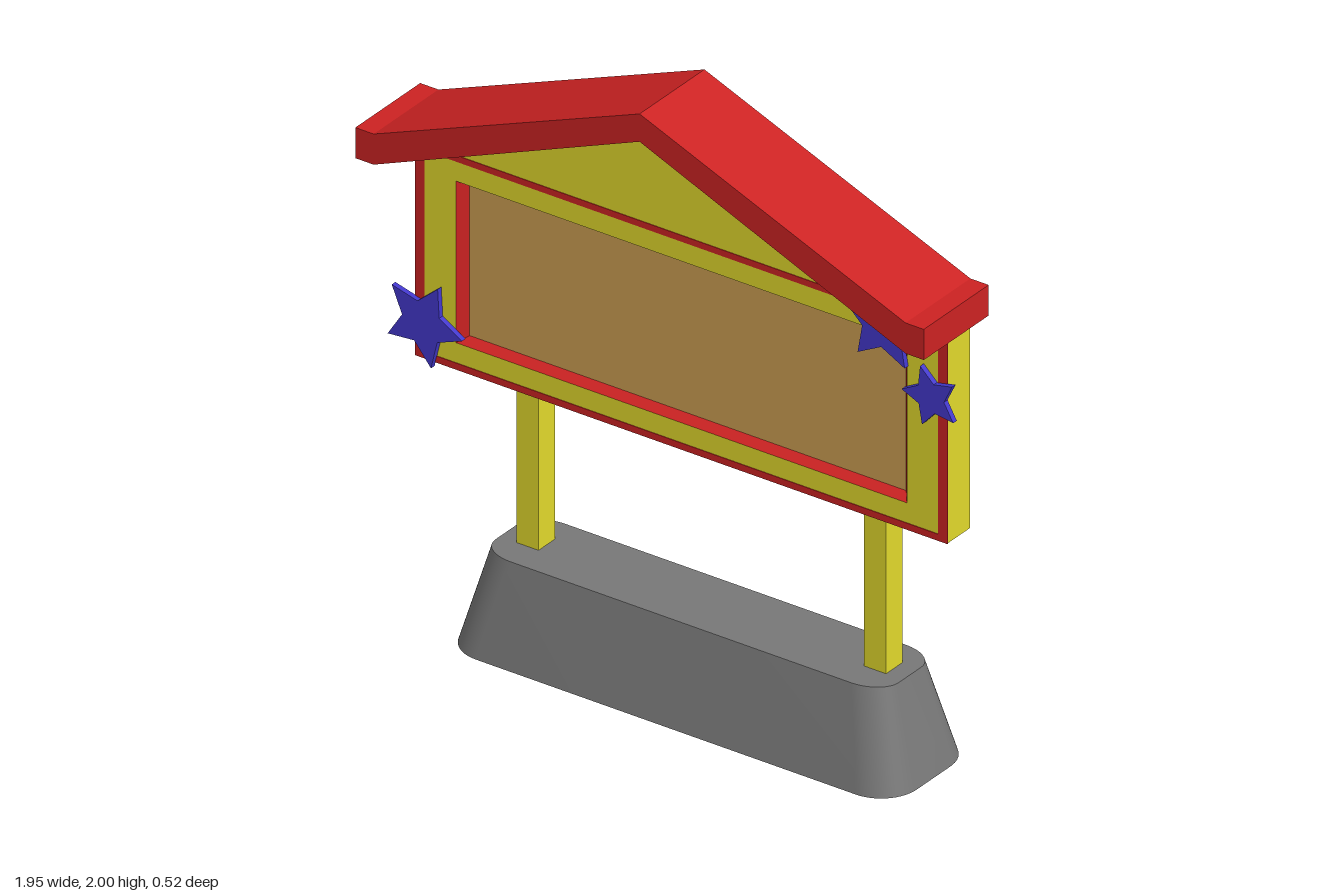
import * as THREE from 'three';
import { toCreasedNormals } from 'three/addons/utils/BufferGeometryUtils.js';

const CX = 0.005; // middle of the sign
const mat = (color) => new THREE.MeshStandardMaterial({ color });
const yellow = mat(0xe0d82c), red = mat(0xcc2222), blue = mat(0x4338cc);
const tan = mat(0xcc9d52), grey = mat(0x777777);

const polygon = (pts) => new THREE.Shape(pts.map(([x, y]) => new THREE.Vector2(x, y)));
const corners = (hw, y0, y1) => [[-hw, y0], [hw, y0], [hw, y1], [-hw, y1]];

// Straight extrusion from z0 to z1
function slab(shape, z0, z1) {
  const geo = new THREE.ExtrudeGeometry(shape, { depth: z1 - z0, bevelEnabled: false, curveSegments: 8 });
  return geo.translate(0, 0, z0);
}

// Rounded block that narrows towards the top
function baseGeometry() {
  const w = 0.765, d = 0.2, r = 0.12, h = 0.3;
  const s = new THREE.Shape();
  s.absarc(w - r, d - r, r, 0, Math.PI / 2);
  s.absarc(-w + r, d - r, r, Math.PI / 2, Math.PI);
  s.absarc(-w + r, -d + r, r, Math.PI, Math.PI * 1.5);
  s.absarc(w - r, -d + r, r, Math.PI * 1.5, Math.PI * 2);
  const geo = slab(s, 0, h).rotateX(-Math.PI / 2);
  const p = geo.attributes.position;
  for (let i = 0; i < p.count; i++) {
    const t = p.getY(i) / h;
    p.setX(i, p.getX(i) * (1 - 0.105 * t));
    p.setZ(i, p.getZ(i) * (1 - 0.35 * t));
  }
  return toCreasedNormals(geo, 0.7);
}

// Sloped walls between an outer front loop and an inner back loop
function recessGeometry(outer, inner, zFront, zBack) {
  const v = [];
  outer.forEach((a, i) => {
    const j = (i + 1) % outer.length;
    const A = [...a, zFront], B = [...outer[j], zFront];
    const C = [...inner[j], zBack], D = [...inner[i], zBack];
    v.push(...A, ...B, ...C, ...A, ...C, ...D);
  });
  const geo = new THREE.BufferGeometry();
  geo.setAttribute('position', new THREE.Float32BufferAttribute(v, 3));
  geo.computeVertexNormals();
  return geo;
}

function starShape(radius, angle) {
  const pts = [];
  for (let i = 0; i < 10; i++) {
    const r = i % 2 ? radius * 0.5 : radius, a = angle + (i * Math.PI) / 5;
    pts.push([r * Math.cos(a), r * Math.sin(a)]);
  }
  return polygon(pts);
}

export function createModel() {
  const group = new THREE.Group();
  const add = (name, geo, material, x = CX, y = 0, z = 0) => {
    const mesh = new THREE.Mesh(geo, material);
    mesh.name = name;
    mesh.position.set(x, y, z);
    group.add(mesh);
  };

  // Base and posts
  add('base', baseGeometry(), grey, CX, 0, -0.06);
  for (const side of [-1, 1]) {
    add(side < 0 ? 'rightPost' : 'leftPost', new THREE.BoxGeometry(0.075, 1.15, 0.077), yellow,
      CX + side * 0.59, 0.855, -0.0655);
  }

  // Gabled board with a window cut into its front layer
  const outline = [[-0.903, 0.847], [0.903, 0.847], [0.903, 1.54], [0, 1.912], [-0.903, 1.54]];
  const outer = corners(0.765, 0.93, 1.442), inner = corners(0.741, 0.947, 1.422);
  const front = polygon(outline);
  front.holes.push(polygon(outer));
  add('boardBack', slab(polygon(outline), -0.04, 0.034), yellow);
  add('boardFront', slab(front, 0.034, 0.066), yellow);

  // Recessed panel and its red surround
  add('panel', slab(polygon(inner), 0.034, 0.036), tan);
  add('panelSurround', recessGeometry(outer, inner, 0.066, 0.036), red);

  // Thin border round the board face
  const border = polygon(corners(0.904, 0.846, 1.525));
  border.holes.push(polygon(corners(0.872, 0.867, 1.505)));
  add('border', slab(border, 0.065, 0.068), red);

  // Roof with flat eaves
  const roof = polygon([[-0.965, 1.54], [-0.903, 1.54], [0, 1.912], [0.903, 1.54], [0.965, 1.54],
    [0.965, 1.637], [0.903, 1.637], [0, 2], [-0.903, 1.637], [-0.965, 1.637]]);
  add('roof', slab(roof, -0.042, 0.264), red);

  // Stars: x, y, radius, angle of one point in degrees
  for (const [x, y, r, deg] of [[0.695, 1.475, 0.136, 90], [0.86, 1.3, 0.096, 182], [-0.864, 0.965, 0.136, -5]]) {
    add('star', slab(starShape(r, (deg * Math.PI) / 180), 0.066, 0.083), blue, x, y);
  }
  return group;
}
